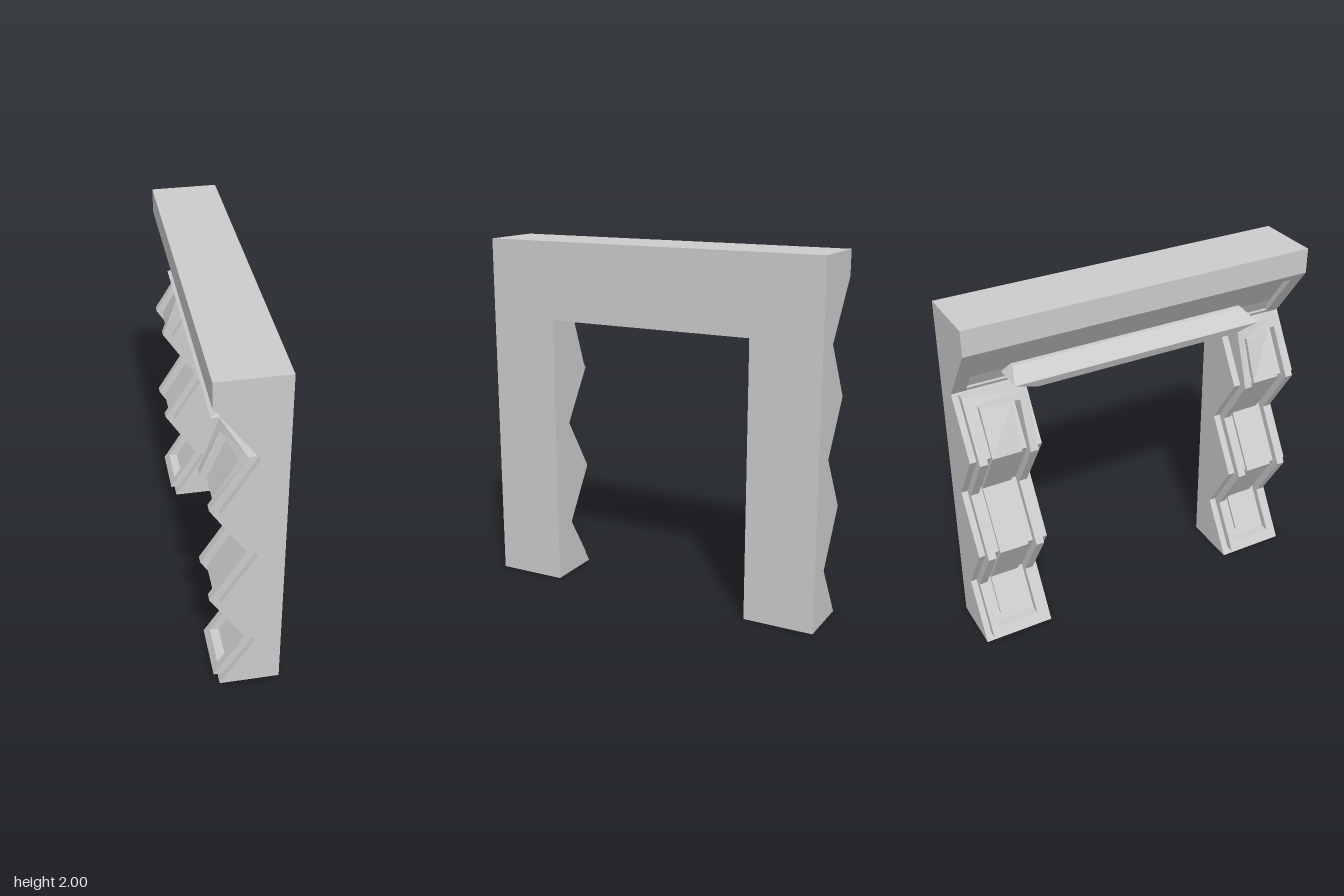
import * as THREE from 'three';
import { ConvexGeometry } from 'three/addons/geometries/ConvexGeometry.js';

const material = new THREE.MeshStandardMaterial({ color: 0xcccccc, flatShading: true });

// Extrude an x-y outline between two z values.
function prism(points, za, zb) {
  const shape = new THREE.Shape(points.map(([x, y]) => new THREE.Vector2(x, y)));
  const geo = new THREE.ExtrudeGeometry(shape, { depth: Math.abs(zb - za), bevelEnabled: false });
  return geo.translate(0, 0, Math.min(za, zb));
}

function add(parent, name, geo) {
  const mesh = new THREE.Mesh(geo, material);
  mesh.name = name;
  parent.add(mesh);
}

// Zigzag face of the legs, from the floor up.
const zigzag = [[-0.14, 0], [0.05, 0.31], [-0.14, 0.62], [0.05, 0.93], [-0.14, 1.23], [0.05, 1.54]];
const mix = (a, b, t) => [a[0] + (b[0] - a[0]) * t, a[1] + (b[1] - a[1]) * t];

// Band following a path, standing proud of the zigzag by the given height.
// Its top leans outwards towards the opening.
function band(path, height, za, zb) {
  const outline = [
    ...path.map(([x, y]) => [x - height, y]),
    ...path.slice().reverse().map(([x, y]) => [x + 0.01, y]),
  ];
  const geo = prism(outline, za, zb);
  const p = geo.attributes.position;
  for (let i = 0; i < p.count; i++) {
    const t = (p.getY(i) - 1.23) / 0.31;
    if (t <= 0) continue;
    const surface = -0.14 + 0.19 * t;
    const inward = (0.96 - Math.abs(p.getZ(i))) / 0.32;
    if (p.getX(i) < surface - 0.005) p.setX(i, p.getX(i) - 0.08 * t * inward);
  }
  geo.computeVertexNormals();
  return geo;
}

export function createModel() {
  const group = new THREE.Group();
  group.name = 'portal';

  // Lintel: full-profile ends and a middle with a recessed lower slope
  const endProfile = [[0.19, 1.54], [0.05, 1.54], [-0.18, 1.86], [-0.18, 2], [0.19, 2]];
  const middleProfile = [
    [0.19, 1.56], [0.06, 1.56], [0.02, 1.63], [-0.12, 1.825], [-0.155, 1.825],
    [-0.18, 1.86], [-0.18, 2], [0.19, 2],
  ];
  add(group, 'lintelMiddle', prism(middleProfile, -0.92, 0.92));
  for (const s of [-1, 1]) add(group, 'lintelEnd', prism(endProfile, s * 0.92, s));

  // Beam under the lintel, with sloping ends
  const beam = [];
  for (const s of [-1, 1]) {
    for (const [x, y, z] of [
      [-0.12, 1.56, 0.6], [0.06, 1.56, 0.6], [-0.14, 1.607, 0.73],
      [0.06, 1.607, 0.73], [-0.03, 1.66, 0.69], [0.06, 1.66, 0.69],
    ]) beam.push(new THREE.Vector3(x, y, z * s));
  }
  add(group, 'beam', new ConvexGeometry(beam));

  // Frame runs just short of the floor and the lintel
  const start = mix(zigzag[0], zigzag[1], 0.12);
  const end = mix(zigzag[4], zigzag[5], 0.98);
  const framePath = [start, ...zigzag.slice(1, 5), end];
  const panelPath = [
    mix(zigzag[0], zigzag[1], 0.4), ...zigzag.slice(1, 5), mix(zigzag[4], zigzag[5], 0.75),
  ];

  for (const s of [-1, 1]) {
    const leg = new THREE.Group();
    leg.name = s > 0 ? 'frontLeg' : 'backLeg';
    group.add(leg);

    add(leg, 'legBody', prism([[0.19, 0], ...zigzag, [0.04, 1.56], [0.19, 1.56]], s * 0.6, s));

    // Raised frame: two rails and two end bars
    add(leg, 'innerRail', band(framePath, 0.05, s * 0.64, s * 0.685));
    add(leg, 'outerRail', band(framePath, 0.05, s * 0.92, s * 0.965));
    add(leg, 'bottomBar', band([start, mix(zigzag[0], zigzag[1], 0.27)], 0.05, s * 0.685, s * 0.92));
    add(leg, 'topBar', band([mix(zigzag[4], zigzag[5], 0.84), end], 0.05, s * 0.685, s * 0.92));

    // Lower panel inside the frame
    add(leg, 'panel', band(panelPath, 0.02, s * 0.72, s * 0.885));
  }
  return group;
}
